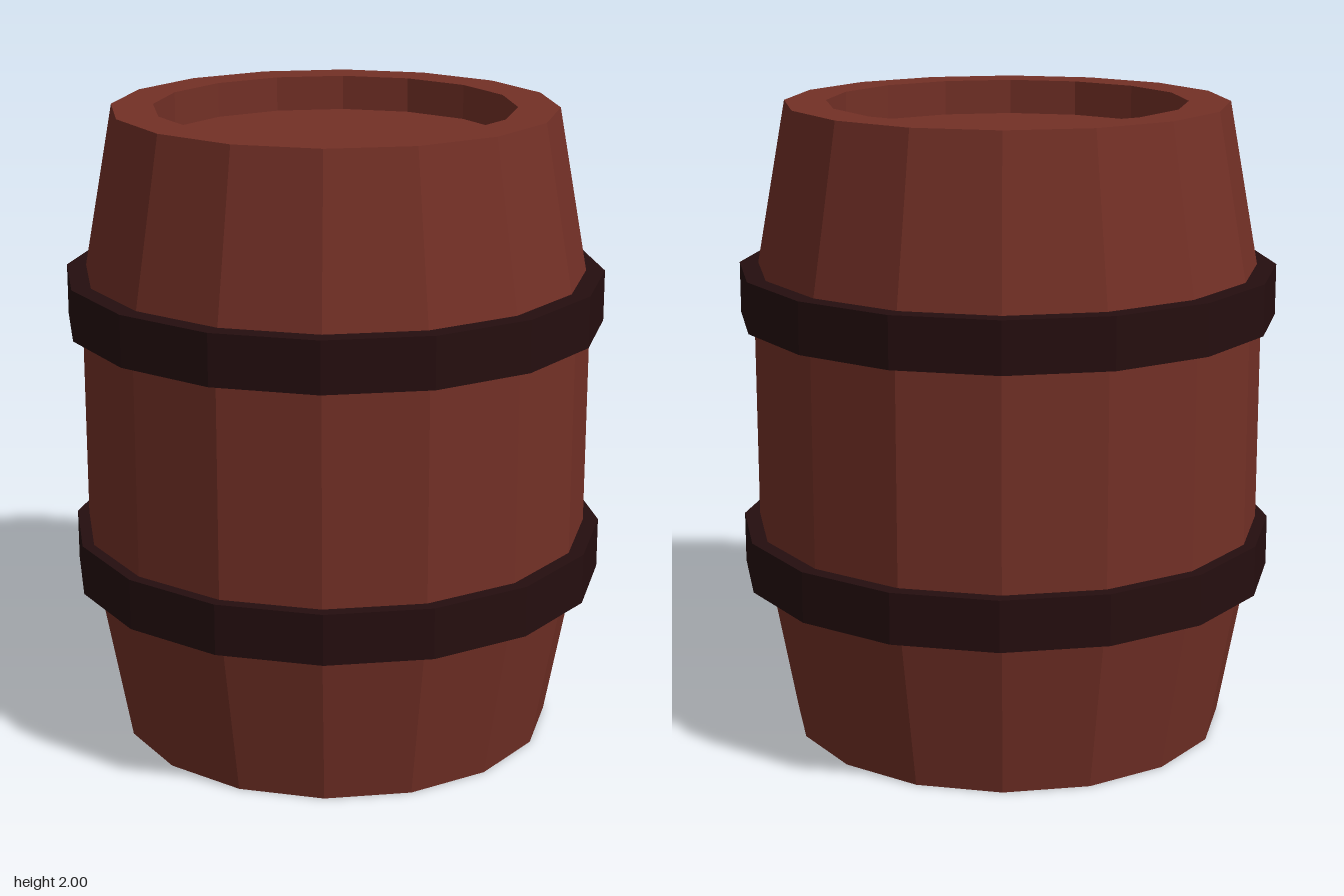
import * as THREE from 'three';

const SIDES = 16;

const wood = new THREE.MeshStandardMaterial({ color: 0x733026, flatShading: true });
wood.name = 'reddish wood';
const iron = new THREE.MeshStandardMaterial({ color: 0x250e0f, flatShading: true });
iron.name = 'dark iron';

// Faceted ring or solid turned from a profile of [radius, height] pairs, listed bottom to top
function turned(name, profile, material) {
  const points = profile.map(([r, y]) => new THREE.Vector2(r, y));
  const mesh = new THREE.Mesh(new THREE.LatheGeometry(points, SIDES), material);
  mesh.name = name;
  return mesh;
}

export function createModel() {
  const barrel = new THREE.Group();
  barrel.name = 'barrel';

  // Staves and rims, with a recessed lid at each end
  const rim = 0.69, lid = 0.56, belly = 0.8, recess = 0.11;
  const body = turned('body', [
    [0, recess], [lid, recess], [lid, 0], [rim, 0],
    [belly, 0.6], [belly, 1.4],
    [rim, 2], [lid, 2], [lid, 2 - recess], [0, 2 - recess],
  ], wood);
  body.position.x = -0.004;
  barrel.add(body);

  // Two hoops, seated a touch off centre
  const hoops = [['lowerHoop', 0.585, 0.002], ['upperHoop', 1.41, -0.005]];
  for (const [name, y, x] of hoops) {
    const hoop = turned(name, [
      [0.76, -0.08], [0.843, -0.08], [0.843, 0.08], [0.76, 0.08], [0.76, -0.08],
    ], iron);
    hoop.position.set(x, y, 0);
    barrel.add(hoop);
  }

  return barrel;
}
